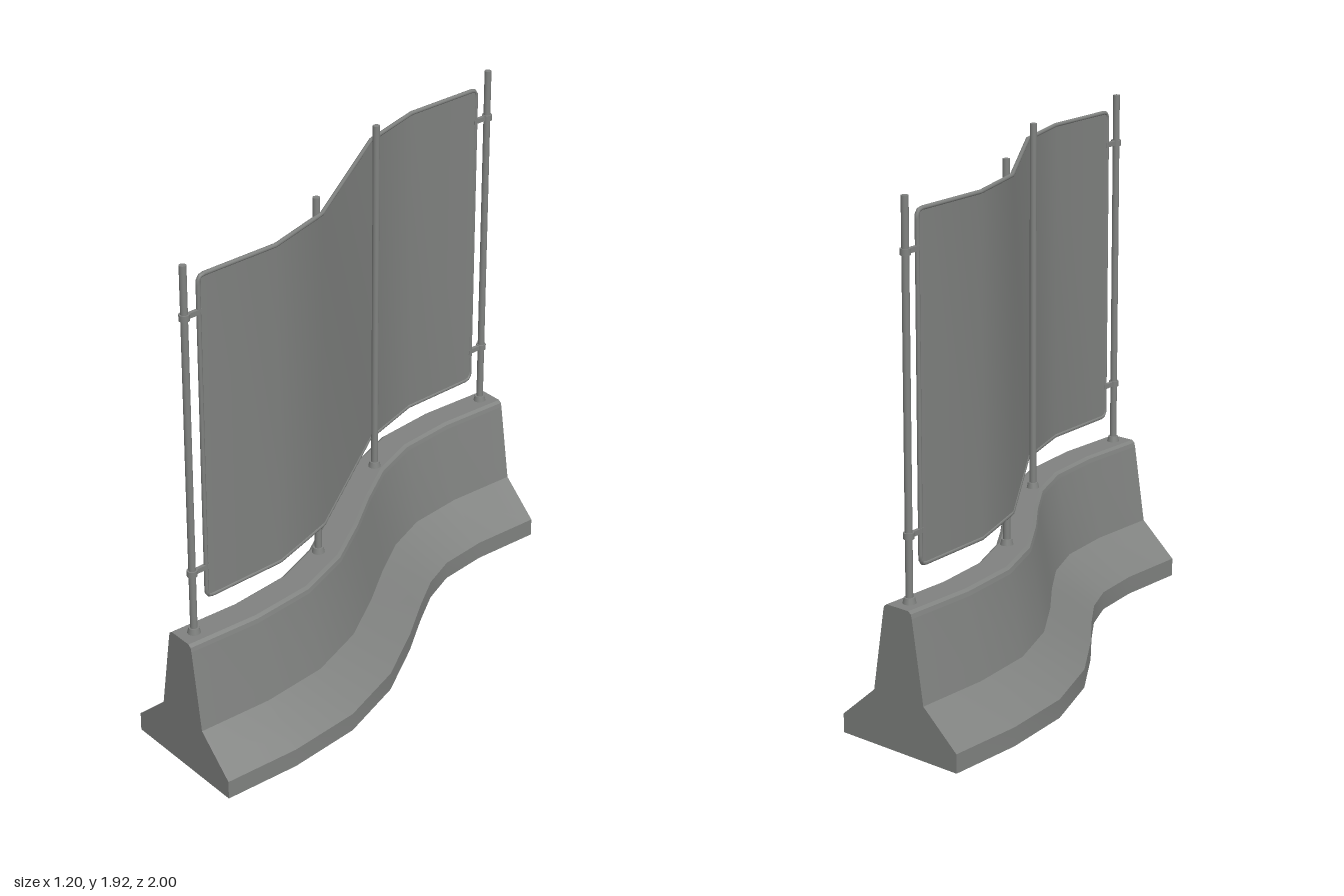
import * as THREE from 'three';

const grey = new THREE.MeshStandardMaterial({ color: 0x808280 });
grey.name = 'concrete grey';

// Half of each path as [x, z, heading in degrees]; the other half is its point reflection
const mirrorPath = (half) => [...half, ...half.slice().reverse().map(([x, z, a]) => [-x, -z, a])];

const BARRIER_PATH = mirrorPath([
  [-0.333, -1, 0], [-0.327, -0.71, 2], [-0.287, -0.465, 12], [-0.195, -0.26, 27], [-0.065, -0.08, 38],
]);
const PANEL_PATH = mirrorPath([
  [-0.327, -0.878, 5], [-0.3265, -0.872, 5], [-0.3255, -0.86, 5], [-0.299, -0.54, 13], [-0.196, -0.265, 28],
]);

// Right half of the barrier section, bottom to top, as [half width, y]
const HALF = [[0.265, 0], [0.265, 0.07], [0.115, 0.2], [0.066, 0.5], [0.062, 0.516], [0.05, 0.525]];
const SECTION = [...HALF, ...HALF.slice().reverse().map(([u, y]) => [-u, y])];

function place([x, z, deg], u, y) {
  const a = THREE.MathUtils.degToRad(deg);
  return new THREE.Vector3(x + u * Math.cos(a), y, z - u * Math.sin(a));
}

// Sweeps a closed section along the path: smooth lengthwise, sharp between faces
function loft(path, sectionAt) {
  const pos = [], index = [];
  const rings = path.map((s, i) => sectionAt(i).map(([u, y]) => place(s, u, y)));
  const n = rings[0].length;
  for (let j = 0; j < n; j++) {
    const base = pos.length / 3;
    rings.forEach((r) => pos.push(...r[j].toArray(), ...r[(j + 1) % n].toArray()));
    for (let i = 0; i < rings.length - 1; i++) {
      const a = base + i * 2;
      index.push(a, a + 1, a + 3, a, a + 3, a + 2);
    }
  }
  const g = new THREE.BufferGeometry();
  g.setAttribute('position', new THREE.Float32BufferAttribute(pos, 3));
  g.setIndex(index);
  g.computeVertexNormals();
  return g;
}

function add(parent, name, geometry, x = 0, y = 0, z = 0) {
  const m = new THREE.Mesh(geometry, grey);
  m.name = name;
  m.position.set(x, y, z);
  parent.add(m);
  return m;
}

export function createModel() {
  const model = new THREE.Group();
  model.name = 'curvedBarrierWithScreen';

  // Concrete barrier with flat ends
  const barrier = new THREE.Group();
  barrier.name = 'barrier';
  model.add(barrier);
  add(barrier, 'barrierBody', loft(BARRIER_PATH, () => SECTION));
  const endFace = new THREE.ShapeGeometry(new THREE.Shape(SECTION.map(([u, y]) => new THREE.Vector2(u, y))));
  add(barrier, 'frontEnd', endFace, 0.333, 0, 1);
  add(barrier, 'backEnd', endFace, -0.333, 0, -1).rotation.y = Math.PI;

  // Screen sheet, its corners rounded by shortening the end stations
  const screen = new THREE.Group();
  screen.name = 'screen';
  model.add(screen);
  const last = PANEL_PATH.length - 1;
  const inset = (i) => [0.018, 0.005, 0][Math.min(i, last - i)] ?? 0;
  const low = (i) => 0.644 + inset(i), high = (i) => 1.867 - inset(i);
  const t = 0.004;
  add(screen, 'panel', loft(PANEL_PATH, (i) => [[t, low(i)], [t, high(i)], [-t, high(i)], [-t, low(i)]]));

  // Rim around the sheet
  const loop = [
    ...PANEL_PATH.map((s, i) => place(s, 0, low(i))),
    ...PANEL_PATH.map((s, i) => place(s, 0, high(i))).reverse(),
  ];
  const rimPath = new THREE.CurvePath();
  loop.forEach((p, i) => rimPath.add(new THREE.LineCurve3(p, loop[(i + 1) % loop.length])));
  add(screen, 'rim', new THREE.TubeGeometry(rimPath, 400, 0.008, 8, true));

  // Posts on flanges, the outer ones clamped to the screen
  const postGeo = new THREE.CylinderGeometry(0.013, 0.013, 1.405, 16);
  const flangeGeo = new THREE.CylinderGeometry(0.019, 0.024, 0.022, 16);
  const ringGeo = new THREE.CylinderGeometry(0.019, 0.019, 0.022, 16);
  const armGeo = new THREE.BoxGeometry(0.014, 0.018, 0.072);
  for (const side of [1, -1]) {
    for (const [name, x, z] of [['outerPost', 0.332, 0.94], ['innerPost', 0.18, 0.277]]) {
      const post = new THREE.Group();
      post.name = name;
      post.position.set(side * x, 0, side * z);
      model.add(post);
      add(post, 'pole', postGeo, 0, 1.2225, 0);
      add(post, 'flange', flangeGeo, 0, 0.535, 0);
      if (name === 'innerPost') continue;
      for (const y of [0.765, 1.738]) {
        add(post, 'clampRing', ringGeo, 0, y, 0);
        add(post, 'clampArm', armGeo, -0.003 * side, y, -0.036 * side).rotation.y = 0.08;
      }
    }
  }
  return model;
}
